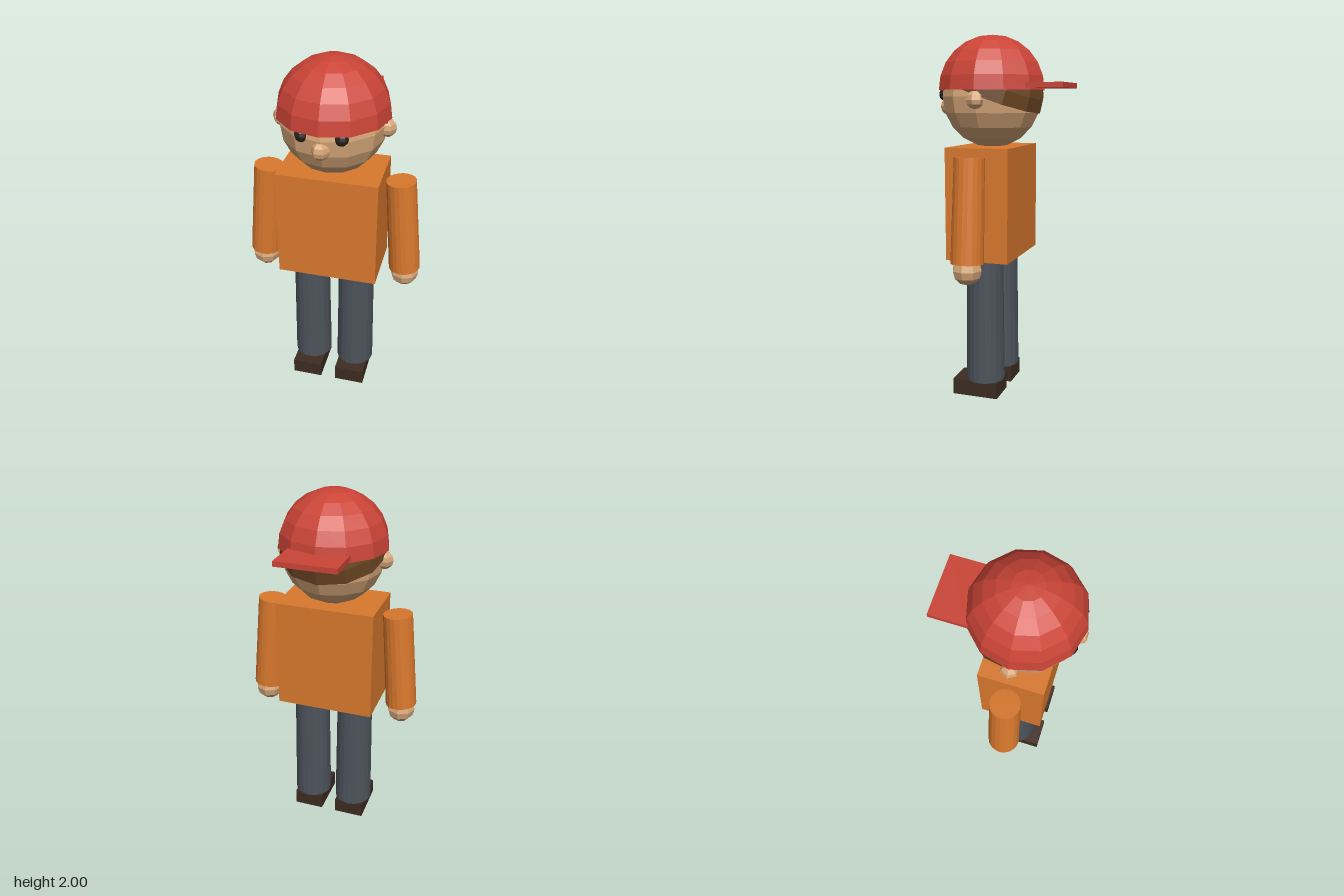
import * as THREE from 'three';

export function createModel() {
  const model = new THREE.Group();
  model.name = 'boyWithCap';

  const mat = (name, color, extra = {}) => {
    const m = new THREE.MeshStandardMaterial({ color, flatShading: true, ...extra });
    m.name = name;
    return m;
  };
  const skin = mat('skin', 0xd8a87a);
  const shirt = mat('shirt', 0xd9782d);
  const red = mat('capRed', 0xcb4437, { side: THREE.DoubleSide });
  const brown = mat('hairBrown', 0x6b4522, { side: THREE.DoubleSide });
  const denim = mat('trousers', 0x4d535c);
  const leather = mat('shoeLeather', 0x3d2c20);
  const black = mat('eyeBlack', 0x2a211d);

  // the body axis sits a little in front of the origin
  const Z = 0.065;

  const add = (name, geometry, material, x, y, z) => {
    const mesh = new THREE.Mesh(geometry, material);
    mesh.name = name;
    mesh.position.set(x, y, z);
    model.add(mesh);
    return mesh;
  };
  const dome = (r) => new THREE.SphereGeometry(r, 12, 6, 0, Math.PI * 2, 0, Math.PI / 2);

  // torso and head
  add('torso', new THREE.BoxGeometry(0.545, 0.61, 0.35), shirt, 0, 1.095, Z);
  add('head', new THREE.SphereGeometry(0.277, 12, 10), skin, 0, 1.667, Z);
  add('nose', new THREE.SphereGeometry(0.048, 6, 6), skin, 0, 1.615, 0.325);

  // hair tipped towards the neck, under the cap
  add('hair', dome(0.289), brown, 0, 1.675, Z).rotation.x = -0.35;

  // cap worn backwards
  add('capCrown', dome(0.297), red, 0, 1.703, Z);
  add('capVisor', new THREE.BoxGeometry(0.33, 0.028, 0.2), red, 0, 1.727, -0.273);

  // paired parts
  for (const [side, s] of [['left', 1], ['right', -1]]) {
    add(side + 'Eye', new THREE.SphereGeometry(0.036, 8, 6), black, s * 0.1, 1.68, 0.305);
    add(side + 'Ear', new THREE.SphereGeometry(0.048, 6, 6), skin, s * 0.276, 1.65, Z);

    const arm = add(side + 'Arm', new THREE.CylinderGeometry(0.08, 0.087, 0.545, 20), shirt, s * 0.383, 1.085, Z);
    arm.rotation.z = s * 0.08;
    add(side + 'Hand', new THREE.SphereGeometry(0.08, 8, 6), skin, s * 0.406, 0.78, Z);

    add(side + 'Leg', new THREE.CylinderGeometry(0.1, 0.109, 0.72, 20), denim, s * 0.131, 0.45, Z);
    add(side + 'Shoe', new THREE.BoxGeometry(0.172, 0.09, 0.26), leather, s * 0.13, 0.045, 0.1);
  }

  return model;
}
